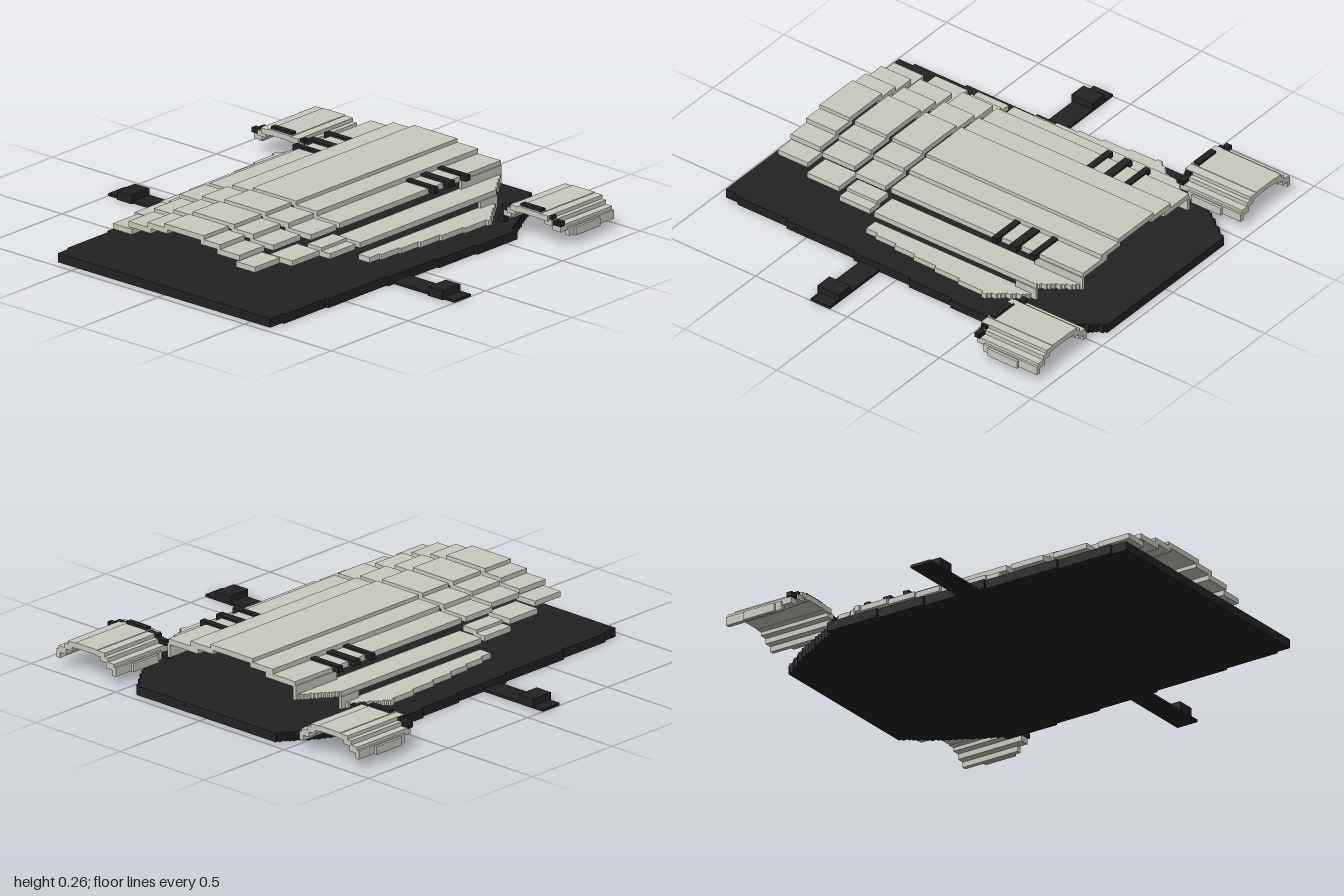
import * as THREE from 'three';

const black = new THREE.MeshStandardMaterial({ color: 0x222222 });
black.name = 'matte black';
const grey = new THREE.MeshStandardMaterial({ color: 0xc9c9c0 });
grey.name = 'pale grey';

const STEP = 0.0125;

export function createModel() {
  const model = new THREE.Group();

  function add(parent, name, geometry, material) {
    const mesh = new THREE.Mesh(geometry, material);
    mesh.name = name;
    parent.add(mesh);
    return mesh;
  }

  // Box given by its limits on each axis
  function box(parent, name, material, [x0, x1], [y0, y1], [z0, z1]) {
    const g = new THREE.BoxGeometry(x1 - x0, y1 - y0, z1 - z0);
    g.translate((x0 + x1) / 2, (y0 + y1) / 2, (z0 + z1) / 2);
    return add(parent, name, g, material);
  }

  // Same box on both sides of the model
  function pair(parent, name, material, x, y, z) {
    box(parent, 'left' + name, material, x, y, z);
    box(parent, 'right' + name, material, [-x[1], -x[0]], y, z);
  }

  // Half width at z along an outline of [z, halfWidth] points
  function widthAt(outline, z) {
    for (let i = 1; i < outline.length; i++) {
      const [z0, w0] = outline[i - 1], [z1, w1] = outline[i];
      if (z <= z1) return w0 + (w1 - w0) * (z - z0) / (z1 - z0);
    }
    return outline[outline.length - 1][1];
  }

  // Flat plate with a stair-stepped edge, between two x limits for each row
  function steppedPlate(parent, name, material, limits, [y0, y1], [z0, z1]) {
    const low = [], high = [];
    const rows = Math.round((z1 - z0) / STEP);
    for (let i = 0; i < rows; i++) {
      const a = z0 + (z1 - z0) * i / rows, b = z0 + (z1 - z0) * (i + 1) / rows;
      const [xa, xb] = limits((a + b) / 2);
      if (xb - xa < 0.005) continue;
      low.push(new THREE.Vector2(xa, -a), new THREE.Vector2(xa, -b));
      high.push(new THREE.Vector2(xb, -a), new THREE.Vector2(xb, -b));
    }
    const shape = new THREE.Shape(low.concat(high.reverse()));
    const g = new THREE.ExtrudeGeometry(shape, { depth: y1 - y0, bevelEnabled: false });
    g.rotateX(-Math.PI / 2);
    g.translate(0, y0, 0);
    return add(parent, name, g, material);
  }
  const snap = (v) => Math.round(v / STEP) * STEP;

  // Base plate with tapered rear
  const baseOutline = [[-0.96, 0.405], [-0.8, 0.525], [-0.58, 0.64], [-0.565, 0.68], [-0.4, 0.675],
    [-0.24, 0.663], [0.2, 0.645], [0.52, 0.635], [0.82, 0.622], [0.96, 0.615]];
  steppedPlate(model, 'basePlate', black, (z) => {
    const w = snap(widthAt(baseOutline, z));
    return [-w, w];
  }, [0, 0.042], [-0.96, 0.96]);

  // Side arms with a raised pad near each tip
  pair(model, 'SideArm', black, [0.6, 1], [0, 0.012], [0.095, 0.2]);
  pair(model, 'ArmPad', black, [0.855, 0.94], [0, 0.042], [0.095, 0.21]);

  // Main shell: layered plates stepping down from the middle
  const shell = new THREE.Group();
  shell.name = 'mainShell';
  model.add(shell);
  const shellOutline = [[-0.8, 0.375], [-0.48, 0.605], [-0.46, 0.62], [-0.4, 0.615], [-0.1, 0.588], [0.24, 0.55]];
  const shellZ = [-0.8, 0.245];
  box(shell, 'crownPlate', grey, [-0.125, 0.125], [0.24, 0.265], shellZ);
  pair(shell, 'UpperPlate', grey, [0.11, 0.245], [0.222, 0.248], shellZ);
  pair(shell, 'ShoulderPlate', grey, [0.2, 0.375], [0.2, 0.225], shellZ);
  const lowerPlates = [['MiddlePlate', 0.365, 0.495, 0.14], ['LowerPlate', 0.485, 0.63, 0.085]];
  for (const [name, xIn, xOut, y] of lowerPlates) {
    for (const s of [1, -1]) {
      steppedPlate(shell, (s > 0 ? 'left' : 'right') + name, grey, (z) => {
        const w = Math.min(xOut, snap(widthAt(shellOutline, z)));
        return s > 0 ? [xIn, w] : [-w, -xIn];
      }, [y, y + 0.025], shellZ);
    }
  }
  // Risers joining the plates at the rear
  pair(shell, 'UpperRiser', grey, [0.365, 0.38], [0.14, 0.205], [-0.8, -0.54]);
  pair(shell, 'LowerRiser', grey, [0.485, 0.5], [0.085, 0.142], [-0.64, -0.53]);

  // Vent bars
  for (const [z, d] of [[-0.345, 0.028], [-0.445, 0.04], [-0.55, 0.028]]) {
    pair(shell, 'VentBar', black, [0.18, 0.41], [0.208, 0.235], [z - d / 2, z + d / 2]);
  }

  // Front bands: short arches of the same stepped plates, each narrower than the last
  const bands = [
    { z: [0.27, 0.435], x: [0.12, 0.25, 0.38, 0.44, 0.49], y: [0.24, 0.222, 0.2, 0.155, 0.14] },
    { z: [0.465, 0.64], x: [0.12, 0.23, 0.345, 0.455], y: [0.24, 0.222, 0.2, 0.155] },
    { z: [0.67, 0.832], x: [0.115, 0.21, 0.32, 0.41], y: [0.24, 0.222, 0.2, 0.168] },
  ];
  bands.forEach(({ z, x, y }, n) => {
    const band = new THREE.Group();
    band.name = 'frontBand' + (n + 1);
    model.add(band);
    box(band, 'bandCrown', grey, [-x[0], x[0]], [y[0], y[0] + 0.025], z);
    for (let i = 1; i < x.length; i++) {
      pair(band, 'BandPlate', grey, [x[i - 1] - 0.02, x[i]], [y[i], y[i] + 0.025], z);
    }
  });

  // Rear fenders: stepped arches with a black trim rib at the front
  const fenderSteps = [
    [0.055, 0.108, 0.112, 0.137, -0.95, -0.595],
    [0.085, 0.13, 0.095, 0.12, -0.95, -0.6],
    [0.12, 0.165, 0.07, 0.1, -0.95, -0.615],
    [0.155, 0.175, 0.045, 0.085, -0.95, -0.66],
    [0.17, 0.187, 0.042, 0.08, -0.85, -0.69],
  ];
  for (const s of [1, -1]) {
    const fender = new THREE.Group();
    fender.name = s > 0 ? 'leftFender' : 'rightFender';
    fender.position.x = s * 0.72;
    model.add(fender);
    box(fender, 'fenderTop', grey, [-0.065, 0.065], [0.115, 0.14], [-0.95, -0.595]);
    for (const [a, b, y0, y1, z0, z1] of fenderSteps) {
      pair(fender, 'FenderStep', grey, [a, b], [y0, y1], [z0, z1]);
    }
    const rib = [-0.635, -0.607];
    box(fender, 'trimTop', black, [-0.06, 0.06], [0.135, 0.152], rib);
    pair(fender, 'TrimStep', black, [0.055, 0.125], [0.118, 0.137], rib);
    pair(fender, 'TrimEnd', black, [0.115, 0.172], [0.098, 0.12], rib);
    // Small foot on the inner side
    box(fender, 'innerFoot', black, s > 0 ? [-0.19, -0.155] : [0.155, 0.19], [0.042, 0.07], rib);
  }

  return model;
}
